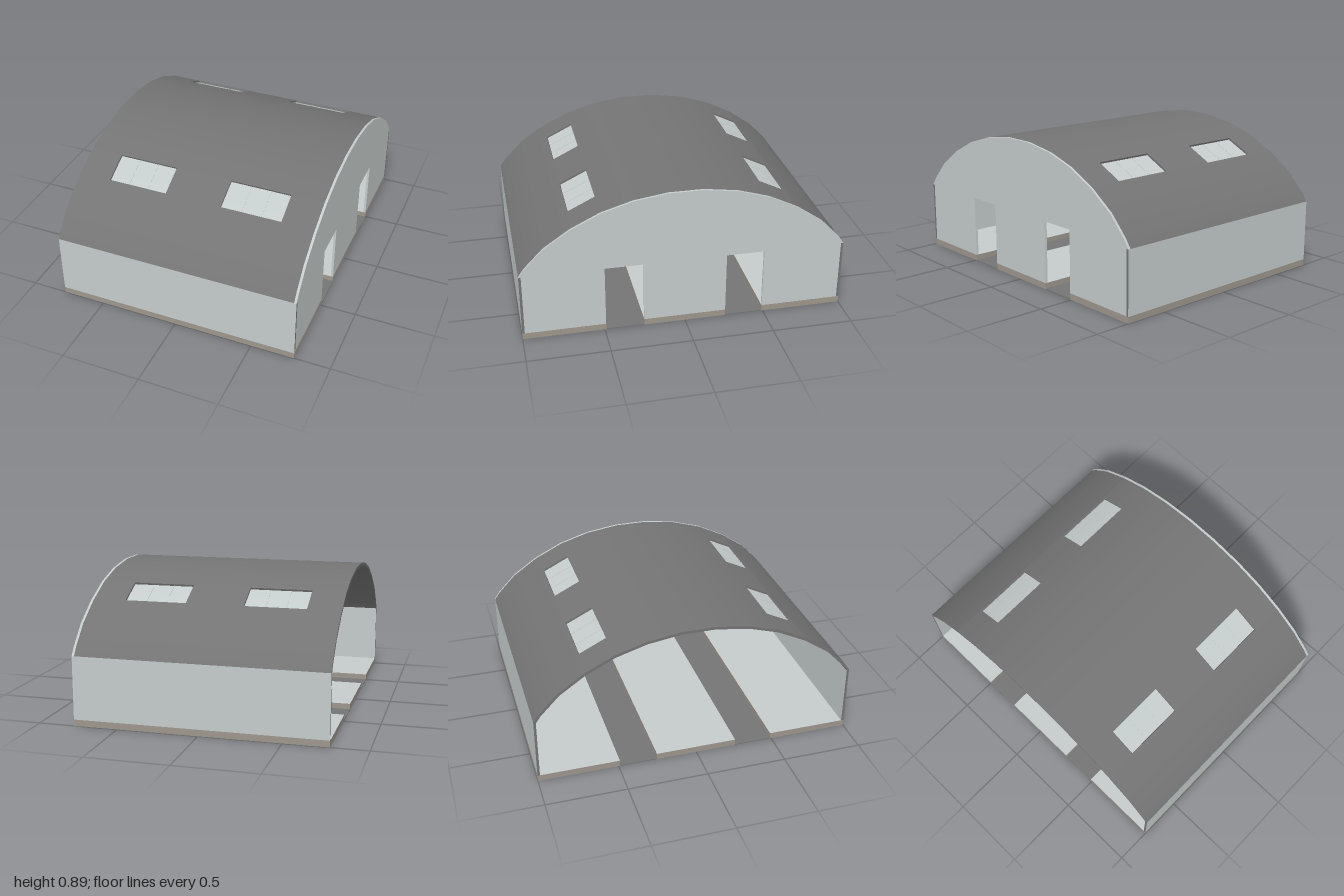
import * as THREE from 'three';

const HALF_LENGTH = 0.775, END = 0.76, SLAB = 0.04, EAVE = 0.43, WALL = 0.015;

// Half of the roof curve as [z, y], from eave to crown; mirrored below.
const half = [[1, 0.43], [0.965, 0.48], [0.85, 0.6], [0.69, 0.71], [0.674, 0.718],
  [0.507, 0.8], [0.314, 0.858], [0.105, 0.888]];
const profile = [...half, ...half.map(([z, y]) => [-z, y]).reverse()];
const last = profile.length - 1;
const windowSegments = [4, last - 5];
const windowSpans = [[-0.57, -0.19], [0.17, 0.555]];

// Smooth outward normal at each roof point.
const normals = profile.map((p, i) => {
  const a = profile[Math.max(i - 1, 0)], b = profile[Math.min(i + 1, last)];
  return new THREE.Vector3(0, a[0] - b[0], b[1] - a[1]).normalize();
});

// Curved slabs following the roof: each piece is [segment, x0, x1],
// lying between two depths below the outer surface.
function roofPieces(pieces, depth0, depth1) {
  const position = [], normal = [];
  const point = (i, x, depth) =>
    new THREE.Vector3(x, profile[i][1], profile[i][0]).addScaledVector(normals[i], -depth);
  const quad = (corners, smooth) => {
    const flat = corners[1].clone().sub(corners[0]).cross(corners[2].clone().sub(corners[0])).normalize();
    for (const k of [0, 1, 2, 0, 2, 3]) {
      position.push(...corners[k].toArray());
      normal.push(...(smooth ? smooth[k] : flat).toArray());
    }
  };
  for (const [i, x0, x1] of pieces) {
    const j = i + 1, n = normals[i], m = normals[j];
    const [A, B, C, D] = [point(i, x0, depth0), point(i, x1, depth0), point(j, x1, depth0), point(j, x0, depth0)];
    const [a, b, c, d] = [point(i, x0, depth1), point(i, x1, depth1), point(j, x1, depth1), point(j, x0, depth1)];
    const ni = n.clone().negate(), mi = m.clone().negate();
    quad([A, B, C, D], [n, n, m, m]);
    quad([b, a, d, c], [ni, ni, mi, mi]);
    quad([B, b, c, C]);
    quad([a, A, D, d]);
    quad([a, b, B, A]);
    quad([D, C, c, d]);
  }
  const geometry = new THREE.BufferGeometry();
  geometry.setAttribute('position', new THREE.Float32BufferAttribute(position, 3));
  geometry.setAttribute('normal', new THREE.Float32BufferAttribute(normal, 3));
  return geometry;
}

export function createModel() {
  const model = new THREE.Group();
  model.name = 'archedShed';
  const material = (name, color) => {
    const m = new THREE.MeshStandardMaterial({ color });
    m.name = name;
    return m;
  };
  const light = material('paleGreyPanel', 0xc4cccb);
  const dark = material('darkGreyRoof', 0x747474);
  const stone = material('brownGreyFooting', 0x9d968c);

  const add = (name, geometry, mat) => {
    const mesh = new THREE.Mesh(geometry, mat);
    mesh.name = name;
    model.add(mesh);
    return mesh;
  };
  const box = (name, y0, y1, z0, z1, mat) =>
    add(name, new THREE.BoxGeometry(HALF_LENGTH * 2, y1 - y0, z1 - z0), mat)
      .position.set(0, (y0 + y1) / 2, (z0 + z1) / 2);

  // Floor slabs with two sunken lanes between them
  const doorIn = 0.256, doorOut = 0.492, doorTop = 0.43;
  const slabMats = [stone, stone, light, light, stone, stone];
  box('floorMiddle', 0, SLAB, -doorIn, doorIn, slabMats);
  box('floorFront', 0, SLAB, doorOut, 1, slabMats);
  box('floorBack', 0, SLAB, -1, -doorOut, slabMats);
  box('laneFront', 0, 0.005, doorIn, doorOut, dark);
  box('laneBack', 0, 0.005, -doorOut, -doorIn, dark);

  // Side walls with dark end edges
  const wallMats = [dark, dark, light, light, light, light];
  box('frontWall', SLAB, EAVE, 1 - WALL, 1, wallMats);
  box('backWall', SLAB, EAVE, -1, -1 + WALL, wallMats);

  // End wall with two doorways, filling the arch
  const inner = 1 - WALL;
  const outline = [[inner, SLAB], [inner, EAVE], ...profile, [-inner, EAVE], [-inner, SLAB]];
  for (const [a, b] of [[-doorOut, -doorIn], [doorIn, doorOut]]) {
    outline.push([a, SLAB], [a, doorTop], [b, doorTop], [b, SLAB]);
  }
  const shape = new THREE.Shape(outline.map(([z, y]) => new THREE.Vector2(-z, y)));
  const endWall = new THREE.ExtrudeGeometry(shape, { depth: HALF_LENGTH - END, bevelEnabled: false });
  endWall.rotateY(Math.PI / 2).translate(END, 0, 0);
  add('endWall', endWall, light);

  // Roof shell, left open at the skylights
  const shell = [], panes = [], bars = [];
  for (let i = 0; i < last; i++) {
    if (!windowSegments.includes(i)) {
      shell.push([i, -HALF_LENGTH, END]);
      continue;
    }
    let x = -HALF_LENGTH;
    for (const [x0, x1] of windowSpans) {
      shell.push([i, x, x0]);
      panes.push([i, x0, x1]);
      for (const t of [1 / 3, 2 / 3]) {
        const c = x0 + (x1 - x0) * t;
        bars.push([i, c - 0.002, c + 0.002]);
      }
      x = x1;
    }
    shell.push([i, x, END]);
  }
  add('roof', roofPieces(shell, 0, 0.017), dark);

  // Recessed skylights with slim glazing bars
  add('skylightPanes', roofPieces(panes, 0.012, 0.016), light);
  add('skylightBars', roofPieces(bars, 0.01, 0.012), light);

  return model;
}
